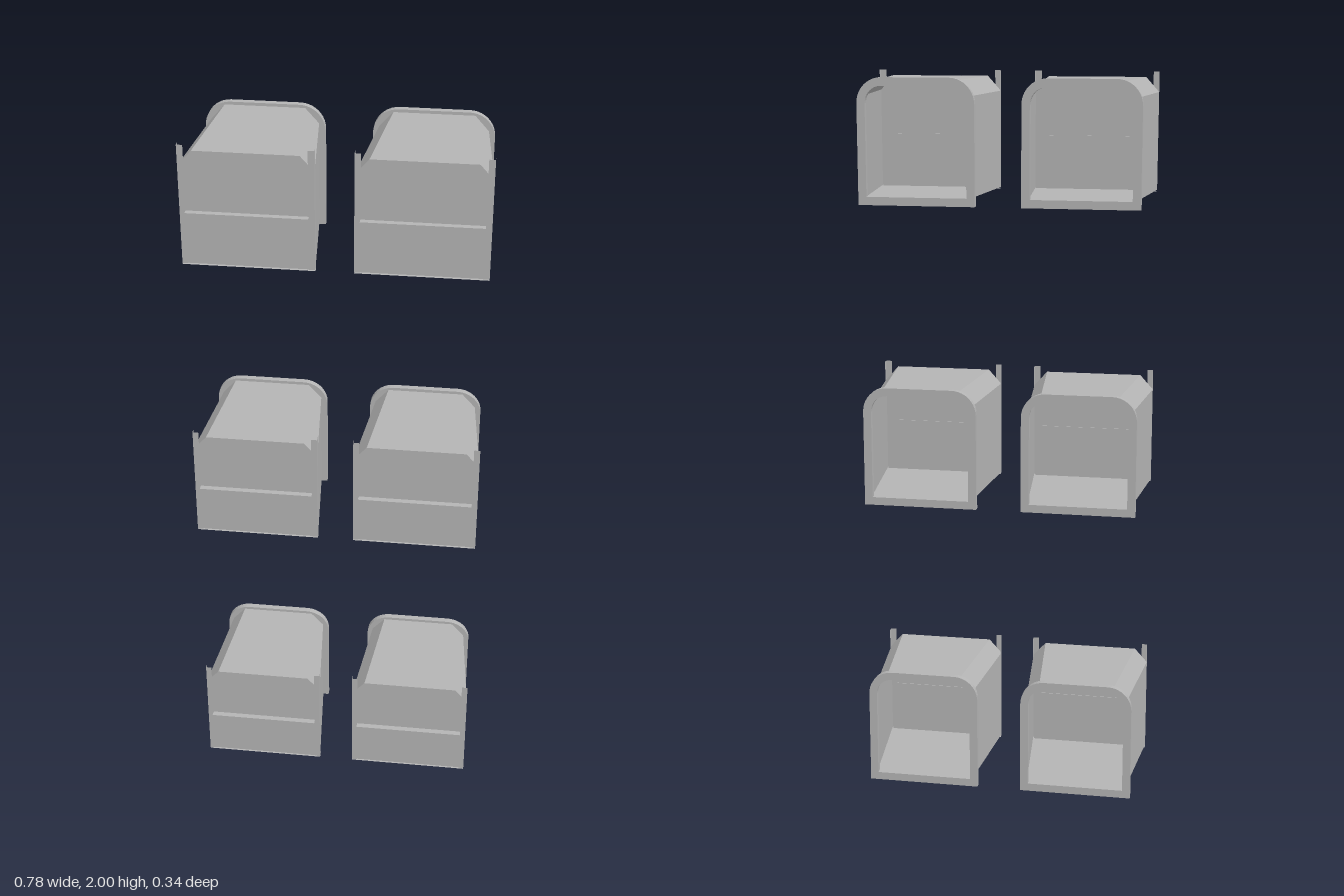
import * as THREE from 'three';

const grey = new THREE.MeshStandardMaterial({ color: 0xb4b4b4, side: THREE.DoubleSide });
grey.name = 'plain grey';

const FRONT = 0.153, BACK = -0.153;

// Hexagonal cross-section: square bottom, chamfered top corners
const section = (side, top) => [
  [-side, 0.02], [side, 0.02], [side, 0.285], [top, 0.325], [-top, 0.325], [-side, 0.285],
];

// Tapered hood: open at the back, closed at the front
function hoodGeometry() {
  const a = section(0.141, 0.105), b = section(0.17, 0.134), pos = [];
  const put = (p, z) => pos.push(p[0], p[1], z);
  for (let i = 0; i < 6; i++) {
    const j = (i + 1) % 6;
    put(a[i], BACK); put(b[j], FRONT); put(b[i], FRONT);
    put(a[i], BACK); put(a[j], BACK); put(b[j], FRONT);
    if (i > 0 && i < 5) { put(b[0], FRONT); put(b[i], FRONT); put(b[j], FRONT); }
  }
  const g = new THREE.BufferGeometry();
  g.setAttribute('position', new THREE.Float32BufferAttribute(pos, 3));
  g.computeVertexNormals();
  return g;
}

// Arch outline with rounded upper corners
function arch(Type, w, y0, y1, r) {
  const s = new Type();
  s.moveTo(-w, y0);
  s.lineTo(w, y0);
  s.lineTo(w, y1 - r);
  s.absarc(w - r, y1 - r, r, 0, Math.PI / 2, false);
  s.lineTo(-w + r, y1);
  s.absarc(-w + r, y1 - r, r, Math.PI / 2, Math.PI, false);
  s.closePath();
  return s;
}

// Flange ring around the back opening
function flangeGeometry() {
  const s = arch(THREE.Shape, 0.157, 0, 0.333, 0.067);
  s.holes.push(arch(THREE.Path, 0.135, 0.022, 0.311, 0.045));
  return new THREE.ExtrudeGeometry(s, { depth: 0.017, bevelEnabled: false, curveSegments: 5 })
    .translate(0, 0, -0.17);
}

// Narrow frame behind the front wall
function innerFrameGeometry() {
  const s = new THREE.Shape(section(0.166, 0.131).map(p => new THREE.Vector2(...p)));
  s.holes.push(new THREE.Path(section(0.15, 0.12).map(([x, y]) =>
    new THREE.Vector2(x, y < 0.1 ? 0.036 : y - 0.014))));
  return new THREE.ShapeGeometry(s).translate(0, 0, 0.14);
}

const geo = {
  hood: hoodGeometry(),
  flange: flangeGeometry(),
  innerFrame: innerFrameGeometry(),
  railFace: new THREE.PlaneGeometry(0.016, 0.32),
  railSide: new THREE.PlaneGeometry(0.016, 0.32).rotateY(Math.PI / 2),
  ledge: new THREE.PlaneGeometry(0.31, 0.018).rotateX(-Math.PI / 2),
  sill: new THREE.PlaneGeometry(0.34, 0.016).rotateX(-Math.PI / 2),
};

function add(group, name, geometry, x = 0, y = 0, z = 0) {
  const m = new THREE.Mesh(geometry, grey);
  m.name = name;
  m.position.set(x, y, z);
  group.add(m);
}

function createHousing() {
  const g = new THREE.Group();
  g.name = 'housing';
  add(g, 'hood', geo.hood);
  add(g, 'backFlange', geo.flange);
  add(g, 'innerFrame', geo.innerFrame);
  // Thin angle rails at the front corners
  for (const s of [-1, 1]) {
    add(g, 'cornerRailFace', geo.railFace, s * 0.162, 0.18, 0.155);
    add(g, 'cornerRailSide', geo.railSide, s * 0.17, 0.18, 0.147);
  }
  // Flat ledge across the front wall and a sill below it
  add(g, 'frontLedge', geo.ledge, 0, 0.165, 0.16);
  add(g, 'frontSill', geo.sill, 0, 0.017, 0.147);
  return g;
}

export function createModel() {
  const model = new THREE.Group();
  model.name = 'housings';
  // Three rows of two
  for (let row = 0; row < 3; row++) {
    for (const s of [-1, 1]) {
      const h = createHousing();
      h.position.set(s * 0.219, row * 0.83, 0);
      model.add(h);
    }
  }
  return model;
}
